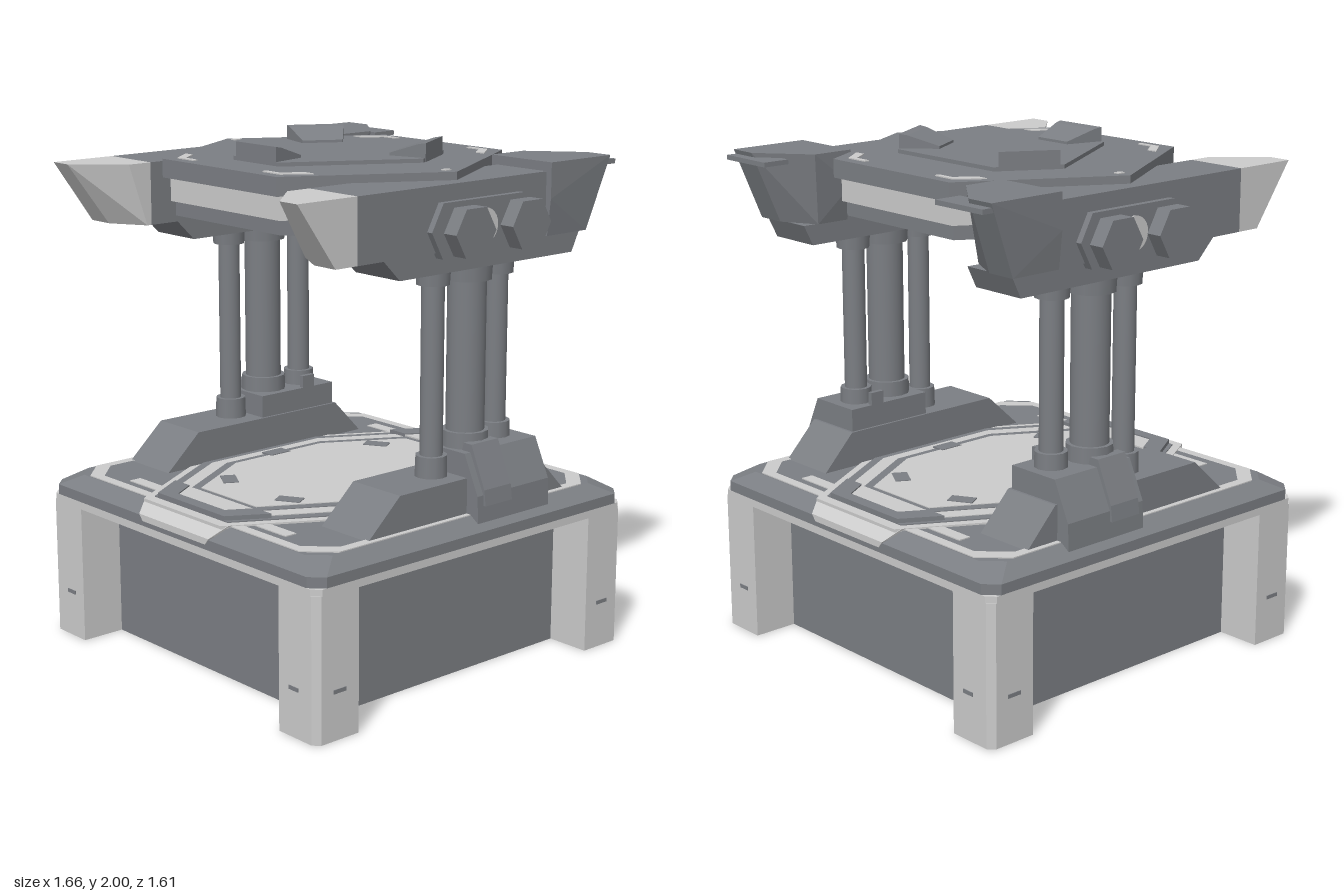
import * as THREE from 'three';
import { ConvexGeometry } from 'three/addons/geometries/ConvexGeometry.js';

const dark = new THREE.MeshStandardMaterial({ color: 0x7b7e83 });
dark.name = 'slate grey';
const light = new THREE.MeshStandardMaterial({ color: 0xcbcbcb });
light.name = 'pale grey';

function add(parent, name, geometry, material) {
  const mesh = new THREE.Mesh(geometry, material);
  mesh.name = name;
  parent.add(mesh);
  return mesh;
}

function box(x0, x1, y0, y1, z0, z1) {
  return new THREE.BoxGeometry(x1 - x0, y1 - y0, z1 - z0)
    .translate((x0 + x1) / 2, (y0 + y1) / 2, (z0 + z1) / 2);
}

const hull = (points) => new ConvexGeometry(points.map((p) => new THREE.Vector3(...p)));

// Horizontal slab from an outline of [x, z] points, with an optional hole
function slab(outline, y0, y1, hole) {
  const flip = (pts) => pts.map(([x, z]) => new THREE.Vector2(x, -z));
  const shape = new THREE.Shape(flip(outline));
  if (hole) shape.holes.push(new THREE.Path(flip(hole)));
  return new THREE.ExtrudeGeometry(shape, { depth: y1 - y0, bevelEnabled: false })
    .rotateX(-Math.PI / 2).translate(0, y0, 0);
}

// Side profile of [z, y] points, spanning x0 to x1
function profile(pts, x0, x1) {
  const shape = new THREE.Shape(pts.map(([z, y]) => new THREE.Vector2(z, y)));
  return new THREE.ExtrudeGeometry(shape, { depth: x1 - x0, bevelEnabled: false })
    .rotateY(-Math.PI / 2).translate(x1, 0, 0);
}

const octagon = (r, c) => [
  [r, r - c], [r - c, r], [c - r, r], [-r, r - c],
  [-r, c - r], [c - r, -r], [r - c, -r], [r, c - r]];

// Hexagon pointing along x: half length, half depth, half width of the flat ends
const hexagon = (x, z, w) => [[x, 0], [w, z], [-w, z], [-x, 0], [-w, -z], [w, -z]];

function buildBase(root) {
  const base = new THREE.Group();
  base.name = 'base';
  root.add(base);

  // Recessed walls, open underneath
  for (const s of [-1, 1]) {
    const a = s * 0.61;
    add(base, 'wall', box(-0.62, 0.62, 0, 0.55, a - 0.01, a + 0.01), dark);
    add(base, 'sideWall', box(a - 0.01, a + 0.01, 0, 0.55, -0.6, 0.6), dark);
  }

  // Corner posts with chamfered outer corners and small slots
  for (const sx of [-1, 1]) for (const sz of [-1, 1]) {
    const outline = [[0.6, 0.6], [0.8, 0.6], [0.8, 0.775], [0.775, 0.8], [0.6, 0.8]];
    add(base, 'cornerPost', slab(outline.map(([x, z]) => [x * sx, z * sz]), 0, 0.55), light);
    const slot = add(base, 'postSlot', new THREE.BoxGeometry(0.05, 0.015, 0.006), dark);
    slot.position.set(sx * 0.68, 0.185, sz * 0.8);
    const sideSlot = add(base, 'postSlot', new THREE.BoxGeometry(0.006, 0.015, 0.06), dark);
    sideSlot.position.set(sx * 0.8, 0.185, sz * 0.69);
  }

  // Pale band and bevelled deck
  add(base, 'band', slab(octagon(0.8, 0.03), 0.545, 0.575), light);
  const layer = (r, c, y) => octagon(r, c).map(([x, z]) => [x, y, z]);
  add(base, 'deck', hull([...layer(0.8, 0.05, 0.575), ...layer(0.8, 0.05, 0.615),
    ...layer(0.735, 0.07, 0.66)]), dark);
  add(base, 'deckStripe', slab(octagon(0.73, 0.1), 0.66, 0.664, octagon(0.69, 0.1)), light);

  // Pale centre pieces on the front and back edges, with strips beside them
  for (const s of [-1, 1]) {
    const pts = [];
    for (const m of [-1, 1]) {
      pts.push([m * 0.19, 0.595, s * 0.803], [m * 0.21, 0.62, s * 0.803],
        [m * 0.25, 0.667, s * 0.74], [m * 0.27, 0.667, s * 0.68], [m * 0.19, 0.595, s * 0.7]);
      add(base, 'deckStrip', box(m * 0.37 - 0.1, m * 0.37 + 0.1, 0.658, 0.664,
        s * 0.63 - 0.025, s * 0.63 + 0.025), light);
    }
    add(base, 'edgePiece', hull(pts), light);
  }

  // Landing pad in nested layers
  const pad = (k) => [[0.22, 0.72], [0.46, 0.3], [0.46, -0.3], [0.22, -0.72],
    [-0.22, -0.72], [-0.46, -0.3], [-0.46, 0.3], [-0.22, 0.72]].map(([x, z]) => [x * k, z * k]);
  add(base, 'padSurround', slab(pad(1.06), 0.655, 0.667), light);
  [[1, dark], [0.93, light], [0.82, dark], [0.75, light]].forEach(([k, m], i) =>
    add(base, 'padLayer', slab(pad(k), 0.66, 0.671 + i * 0.003), m));
  for (let i = 0; i < 6; i++) {
    const a = (i + 0.5) * Math.PI / 3;
    const notch = add(base, 'padNotch', new THREE.BoxGeometry(0.1, 0.006, 0.06), dark);
    notch.position.set(Math.sin(a) * 0.36, 0.68, Math.cos(a) * 0.45);
    notch.rotation.y = a;
  }
  // Raised trapezoid clamps at both ends of the pad
  for (const s of [-1, 1]) {
    const f = (pts) => pts.map(([x, z]) => [x, z * s]);
    add(base, 'padClamp', slab(f([[0.29, 0.57], [0.2, 0.72], [-0.2, 0.72], [-0.29, 0.57],
      [-0.2, 0.57], [-0.14, 0.67], [0.14, 0.67], [0.2, 0.57]]), 0.66, 0.688), dark);
    add(base, 'clampInset', slab(f([[0.2, 0.57], [0.14, 0.67], [-0.14, 0.67], [-0.2, 0.57]]),
      0.675, 0.683), light);
  }
}

// One leg with its foot, columns and arm, on the +x side
function buildSide() {
  const side = new THREE.Group();

  // Foot and its outer bracket
  add(side, 'foot', profile([[0.48, 0.655], [0.32, 0.8], [-0.41, 0.8], [-0.55, 0.655]], 0.46, 0.71), dark);
  const bracket = [];
  for (const z of [-0.02, -0.4]) {
    bracket.push([0.47, 0.62, z], [0.77, 0.62, z], [0.765, 0.74, z], [0.695, 0.89, z], [0.47, 0.89, z]);
  }
  add(side, 'bracket', hull(bracket), dark);
  const cover = [];
  for (const z of [-0.05, -0.19]) {
    cover.push([0.6, 0.7, z], [0.778, 0.7, z], [0.77, 0.76, z], [0.7, 0.92, z], [0.66, 0.92, z]);
  }
  add(side, 'bracketCover', hull(cover), dark);

  // Three columns with collars: x, z, radius, base height
  for (const [x, z, r, y] of [[0.59, 0.05, 0.043, 0.78], [0.59, -0.125, 0.073, 0.85], [0.57, -0.3, 0.045, 0.85]]) {
    const ring = (name, rt, rb, y0, y1, n) => add(side, name,
      new THREE.CylinderGeometry(rt, rb, y1 - y0, n).translate(x, (y0 + y1) / 2, z), dark);
    ring('column', r, r, y, 1.6, 24);
    ring('lowerCollar', r + 0.017, r + 0.02, y, y + 0.1, 12);
    ring('upperCollar', r + 0.025, r + 0.02, 1.52, 1.6, 12);
  }
  add(side, 'collarPin', box(0.47, 0.49, 0.88, 0.94, -0.3, -0.24), dark);

  // Arm body with a keel below
  add(side, 'arm', profile([[0.53, 1.66], [0.53, 1.9], [-0.45, 1.9], [-0.45, 1.66]], 0.46, 0.71), dark);
  add(side, 'armKeel', profile([[0.4, 1.66], [0.32, 1.58], [-0.57, 1.58], [-0.61, 1.66]], 0.47, 0.7), dark);

  // Pale pointed tip
  add(side, 'armTip', hull([
    [0.46, 1.9, 0.53], [0.71, 1.9, 0.53], [0.46, 1.66, 0.53], [0.71, 1.66, 0.53],
    [0.71, 1.9, 0.8], [0.62, 1.9, 0.8], [0.46, 1.9, 0.63],
    [0.71, 1.66, 0.63], [0.6, 1.66, 0.63], [0.46, 1.66, 0.55]]), light);

  // Heavier rear block with a thin fin
  add(side, 'rearBlock', hull([
    [0.43, 1.935, -0.41], [0.735, 1.935, -0.41], [0.735, 1.935, -0.735], [0.62, 1.935, -0.735],
    [0.43, 1.935, -0.58], [0.46, 1.66, -0.41], [0.72, 1.66, -0.41], [0.72, 1.66, -0.625],
    [0.6, 1.66, -0.625], [0.46, 1.66, -0.55], [0.43, 1.8, -0.41], [0.735, 1.8, -0.41]]), dark);
  add(side, 'rearFin', box(0.49, 0.73, 1.9, 1.918, -0.77, -0.66), dark);

  // Side plate with two hexagonal knobs
  add(side, 'knobPlate', profile([[0.2, 1.74], [0.145, 1.84], [-0.265, 1.84], [-0.32, 1.74],
    [-0.265, 1.64], [0.145, 1.64]], 0.7, 0.735), dark);
  const disc = add(side, 'plateDisc', new THREE.CylinderGeometry(0.065, 0.065, 0.008, 24), light);
  disc.rotation.z = Math.PI / 2;
  disc.position.set(0.738, 1.74, -0.06);
  for (const z of [0.075, -0.21]) {
    const shaft = new THREE.CylinderGeometry(0.05, 0.05, 0.08, 16).rotateZ(-Math.PI / 2);
    add(side, 'knobShaft', shaft.translate(0.75, 1.74, z), dark);
    const hex = [0, 1, 2, 3, 4, 5].map((i) => [
      z + 0.1 * Math.cos(i * Math.PI / 3), 1.74 + 0.1 * Math.sin(i * Math.PI / 3)]);
    add(side, 'knob', profile(hex, 0.768, 0.83), dark);
  }
  return side;
}

function buildCanopy(root) {
  const canopy = new THREE.Group();
  canopy.name = 'canopy';
  root.add(canopy);

  // Stacked hexagonal layers
  add(canopy, 'roof', slab(hexagon(0.655, 0.57, 0.33), 1.86, 1.93), dark);
  add(canopy, 'paleBand', slab(hexagon(0.63, 0.545, 0.315), 1.77, 1.86), light);
  add(canopy, 'underside', slab(hexagon(0.61, 0.53, 0.305), 1.715, 1.775), dark);
  add(canopy, 'lowerBoss', hull([
    ...hexagon(0.33, 0.29, 0.165).map(([x, z]) => [x, 1.72, z]),
    ...hexagon(0.28, 0.245, 0.14).map(([x, z]) => [x, 1.685, z])]), dark);
  add(canopy, 'topPlate', slab([[-0.4, -0.08], [-0.27, -0.31], [0.27, -0.31], [0.4, -0.08],
    [0.13, 0.39], [-0.13, 0.39]], 1.93, 1.945), dark);

  // Pale corner marks on the roof
  for (const sx of [-1, 1]) {
    for (const sz of [-1, 1]) {
      const mark = [[0.37, 0.43], [0.295, 0.525], [0.2, 0.525], [0.2, 0.505], [0.27, 0.505], [0.325, 0.43]];
      add(canopy, 'cornerMark', slab(mark.map(([x, z]) => [x * sx, z * sz]), 1.93, 1.934), light);
    }
    add(canopy, 'sideMark', box(sx * 0.6 - 0.012, sx * 0.6 + 0.012, 1.93, 1.934, -0.015, 0.015), light);
  }

  // Three wedge clamps that rise outwards
  for (let i = 0; i < 3; i++) {
    const pts = [];
    for (const m of [-1, 1]) {
      pts.push([m * 0.115, 1.93, 0.39], [m * 0.115, 2, 0.39], [m * 0.108, 1.995, 0.36],
        [m * 0.08, 1.955, 0.24], [m * 0.08, 1.93, 0.24]);
    }
    add(canopy, 'wedgeClamp', hull(pts), dark).rotation.y = i * Math.PI * 2 / 3;
  }
}

export function createModel() {
  const root = new THREE.Group();
  root.name = 'canopyStation';
  buildBase(root);
  const left = buildSide();
  left.name = 'leftSupport';
  const right = buildSide();
  right.name = 'rightSupport';
  right.scale.x = -1;
  root.add(left, right);
  buildCanopy(root);
  return root;
}
